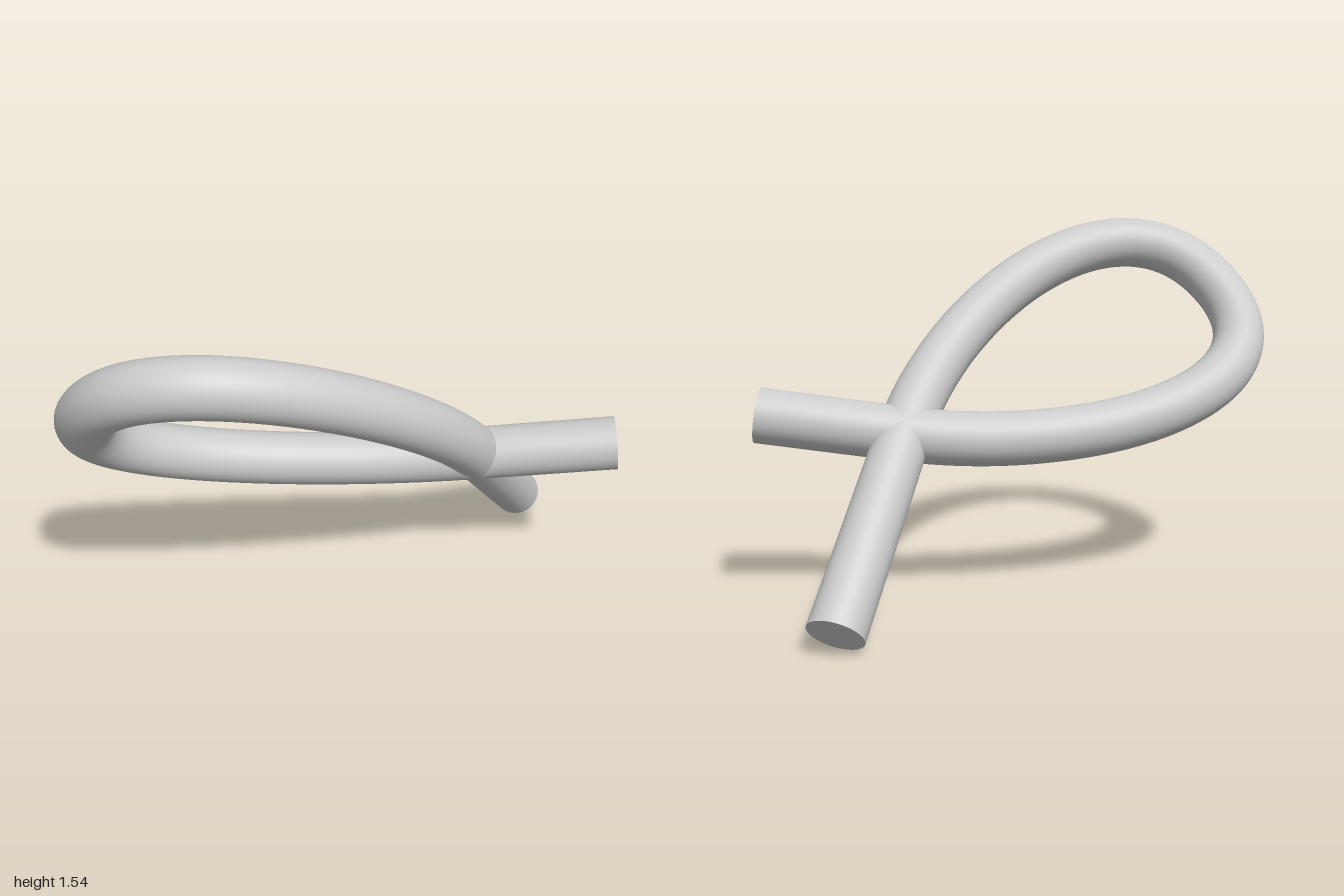
import * as THREE from 'three';

const RADIUS = 0.11;
const SIDES = 40;
const v = (x, y, z) => new THREE.Vector3(x, y, z);

export function createModel() {
  const group = new THREE.Group();
  group.name = 'loopedRod';
  const material = new THREE.MeshStandardMaterial({ color: 0xcccccc });

  // Ends of the tails, the point where they cross, and the tip of the loop
  const sideEnd = v(0.88, 0.77, -0.505);
  const lowerEnd = v(0.335, 0.077, -0.92);
  const crossing = v(0.353, 0.69, -0.285);
  const tip = v(-0.664, 1.249, 0.858);
  const across = v(0.471, 0.447, 0.199);

  // Each tail runs straight through the crossing and on into its half of the loop
  const onward = (end) => crossing.clone().addScaledVector(crossing.clone().sub(end).normalize(), 0.78);

  // Centre line: straight tail, teardrop loop in two halves, straight tail
  const path = new THREE.CurvePath();
  path.add(new THREE.LineCurve3(sideEnd, crossing));
  path.add(new THREE.CubicBezierCurve3(crossing, onward(sideEnd), tip.clone().sub(across), tip));
  path.add(new THREE.CubicBezierCurve3(tip, tip.clone().add(across), onward(lowerEnd), crossing));
  path.add(new THREE.LineCurve3(crossing, lowerEnd));

  // Round rod
  const rod = new THREE.Mesh(new THREE.TubeGeometry(path, 200, RADIUS, SIDES, false), material);
  rod.name = 'rod';
  group.add(rod);

  // Flat discs closing both ends, facing outwards
  for (const [name, end] of [['sideEndCap', sideEnd], ['lowerEndCap', lowerEnd]]) {
    const cap = new THREE.Mesh(new THREE.CircleGeometry(RADIUS, SIDES), material);
    cap.name = name;
    cap.position.copy(end);
    cap.quaternion.setFromUnitVectors(v(0, 0, 1), end.clone().sub(crossing).normalize());
    group.add(cap);
  }
  return group;
}
